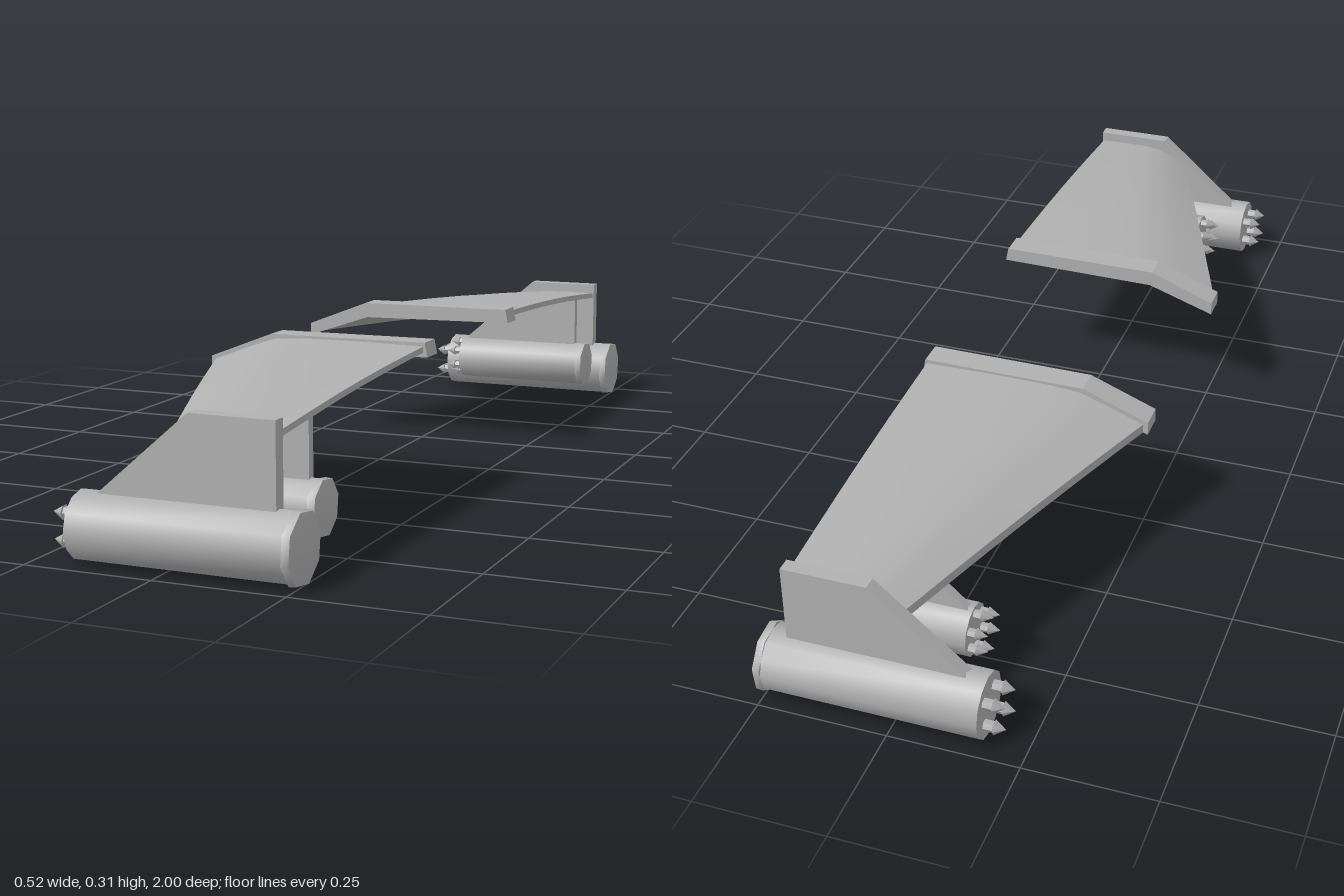
import * as THREE from 'three';
import { toCreasedNormals } from 'three/addons/utils/BufferGeometryUtils.js';

const grey = new THREE.MeshStandardMaterial({ color: 0xb0b0b0 });
grey.name = 'hull grey';

function part(name, geometry, crease = 1.0) {
  const mesh = new THREE.Mesh(toCreasedNormals(geometry, crease), grey);
  mesh.name = name;
  return mesh;
}

// Solid of revolution along x; profile is [x, radius] from nose to tail
function turned(profile, sides) {
  const g = new THREE.LatheGeometry(profile.map(([x, r]) => new THREE.Vector2(r, x)), sides);
  return g.rotateZ(-Math.PI / 2);
}

// Flat plate: outline in x/y, thickness centred on z
function plate(outline, z, thickness) {
  const shape = new THREE.Shape(outline.map(([x, y]) => new THREE.Vector2(x, y)));
  const g = new THREE.ExtrudeGeometry(shape, { depth: thickness, bevelEnabled: false });
  return g.translate(0, 0, z - thickness / 2);
}

// Drooped wing sections, upper surface from leading to trailing edge
const rootLine = [[-0.258, 0.249], [-0.19, 0.275], [-0.125, 0.298], [-0.06, 0.303], [0.07, 0.304], [0.205, 0.302]];
const tipLine = [[-0.008, 0.222], [0.03, 0.243], [0.06, 0.254], [0.09, 0.259], [0.15, 0.26], [0.205, 0.259]];
const thicknesses = [0.019, 0.02, 0.02, 0.018, 0.015, 0.012];

// Thin wing lofted between closed root and tip sections
function wingGeometry(side) {
  const loop = (line) => [
    ...line,
    ...line.map(([x, y], i) => [x, y - thicknesses[i]]).reverse(),
  ];
  const root = loop(rootLine), tip = loop(tipLine);
  const n = root.length, steps = 6, pos = [], index = [];
  for (let s = 0; s <= steps; s++) {
    const t = s / steps;
    for (let i = 0; i < n; i++) {
      pos.push(
        THREE.MathUtils.lerp(root[i][0], tip[i][0], t),
        THREE.MathUtils.lerp(root[i][1], tip[i][1], t) + 0.006 * Math.sin(Math.PI * t),
        side * THREE.MathUtils.lerp(0.25, 0.925, t));
    }
  }
  const face = (a, b, c) => (side > 0 ? index.push(a, b, c) : index.push(a, c, b));
  for (let s = 0; s < steps; s++) {
    for (let i = 0; i < n; i++) {
      const a = s * n + i, b = s * n + (i + 1) % n;
      face(a, a + n, b);
      face(b, a + n, b + n);
    }
  }
  // End caps, as strips between upper and lower lines
  for (let i = 0; i < n / 2 - 1; i++) {
    const j = n - 1 - i, e = steps * n;
    face(i, i + 1, j);
    face(i + 1, j - 1, j);
    face(e + i, e + j, e + i + 1);
    face(e + i + 1, e + j, e + j - 1);
  }
  const g = new THREE.BufferGeometry();
  g.setAttribute('position', new THREE.Float32BufferAttribute(pos, 3));
  g.setIndex(index);
  g.computeVertexNormals();
  return g;
}

// Rocket pod: body, rear collar with domed cap, and darts in a ring at the nose
function pod(name, { x0, x1, r, y, z, darts, ring, dartR, nose, turn }) {
  const g = new THREE.Group();
  g.name = name;
  g.add(part('podBody', turned([[x0, 0], [x0, r], [x1 - 0.016, r], [x1 - 0.016, 0]], 12)));
  const collar = part('podCollar', turned([
    [x1 - 0.018, 0], [x1 - 0.018, r * 1.07], [x1 - 0.004, r * 1.05], [x1 - 0.002, r * 0.9], [x1 + 0.003, 0],
  ], 8));
  collar.rotation.x = 0.25;
  g.add(collar);
  for (let i = 0; i < darts; i++) {
    const a = turn + (i / darts) * Math.PI * 2;
    const dart = part('rocketTip', turned([
      [nose, 0], [nose + 0.022, dartR * 1.2], [nose + 0.023, dartR * 0.9], [x0 + 0.01, dartR * 0.9],
    ], 6));
    dart.position.set(0, Math.sin(a) * ring, Math.cos(a) * ring);
    g.add(dart);
  }
  g.position.set(0, y, z);
  return g;
}

function wingAssembly(side) {
  const g = new THREE.Group();
  g.name = side > 0 ? 'leftWingAssembly' : 'rightWingAssembly';
  g.add(part('wing', wingGeometry(side), 0.7));

  // Bent rail along the wing root
  g.add(part('rootRail', plate([
    [-0.26, 0.227], [-0.12, 0.275], [0.214, 0.28], [0.208, 0.309], [-0.125, 0.307], [-0.26, 0.254],
  ], side * 0.245, 0.054), 0.3));

  // Outer pod and its pylon
  g.add(part('outerPylon', plate([
    [-0.135, 0.125], [0.208, 0.125], [0.208, 0.281], [0.045, 0.281],
  ], side * 0.932, 0.028), 0.3));
  g.add(pod('outerPod', {
    x0: -0.17, x1: 0.258, r: 0.063, y: 0.067, z: side * 0.935,
    darts: 4, ring: 0.035, dartR: 0.012, nose: -0.211, turn: Math.PI / 4,
  }));

  // Inner pod and its pylon
  g.add(part('innerPylon', plate([
    [-0.09, 0.14], [0.2, 0.14], [0.2, 0.262], [0.03, 0.25],
  ], side * 0.79, 0.018), 0.3));
  g.add(pod('innerPod', {
    x0: -0.09, x1: 0.232, r: 0.051, y: 0.1, z: side * 0.79,
    darts: 6, ring: 0.036, dartR: 0.01, nose: -0.127, turn: Math.PI / 6,
  }));
  return g;
}

export function createModel() {
  const model = new THREE.Group();
  model.name = 'wingPair';
  for (const side of [1, -1]) model.add(wingAssembly(side));
  return model;
}
